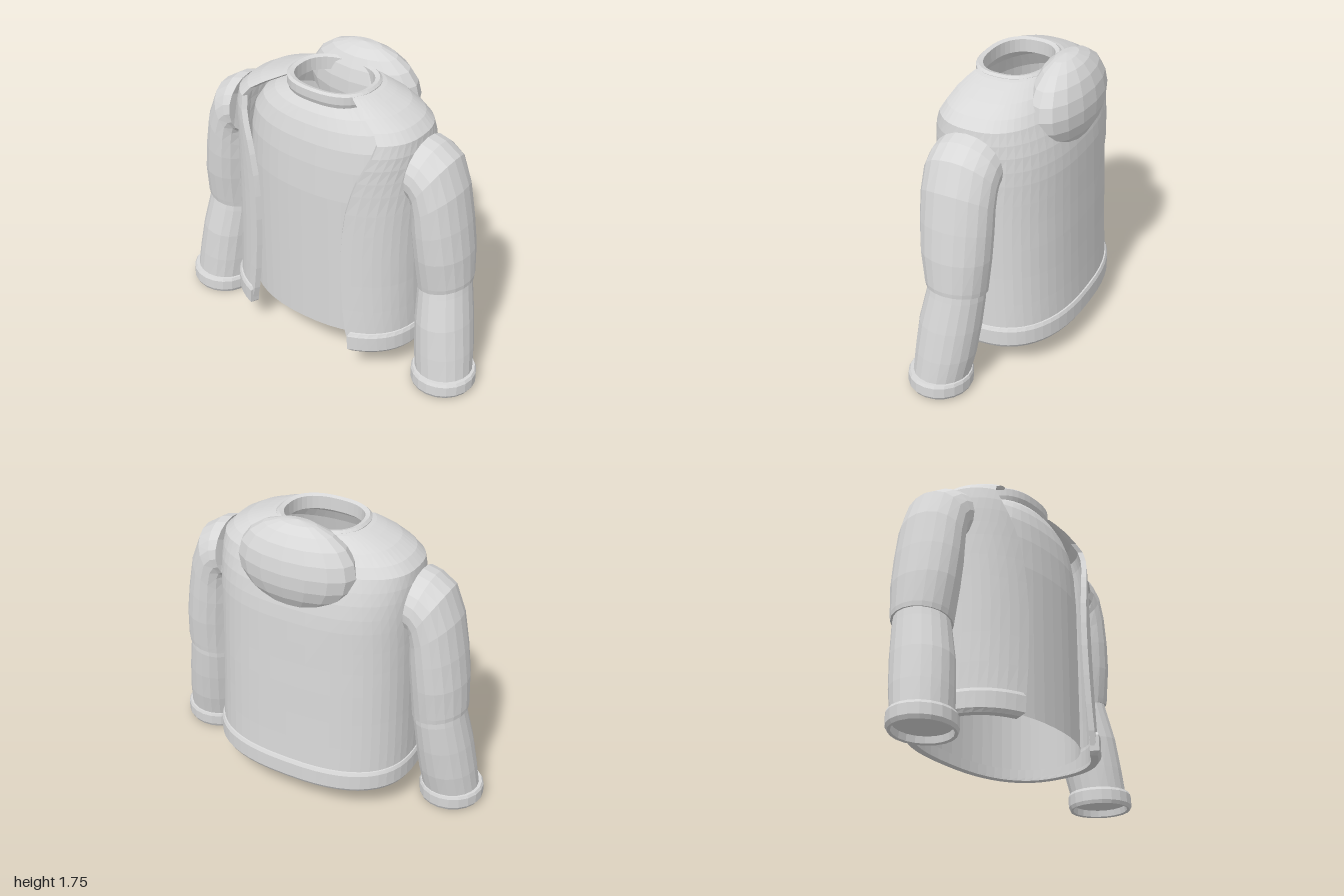
import * as THREE from 'three';

const fabric = new THREE.MeshStandardMaterial({ color: 0xd8d8d8, flatShading: true, side: THREE.DoubleSide });
fabric.name = 'light grey fabric';

// Skin a stack of equal-length closed loops, listed from the bottom up
function loft(name, rings) {
  const n = rings[0].length, index = [];
  for (let i = 0; i < rings.length - 1; i++) {
    for (let j = 0; j < n; j++) {
      const k = (j + 1) % n;
      const a = i * n + j, b = i * n + k, c = (i + 1) * n + k, d = (i + 1) * n + j;
      index.push(a, b, c, a, c, d);
    }
  }
  const geo = new THREE.BufferGeometry();
  geo.setAttribute('position', new THREE.Float32BufferAttribute(rings.flat(2), 3));
  geo.setIndex(index);
  geo.computeVertexNormals();
  const mesh = new THREE.Mesh(geo, fabric);
  mesh.name = name;
  return mesh;
}

const power = (v, p) => Math.sign(v) * Math.abs(v) ** p;

// Point on a rounded oval whose front reaches z = f and back reaches z = -k
function oval(t, y, a, f, k, n) {
  const b = (f + k) / 2;
  return [a * power(Math.sin(t), 2 / n), y, (f - k) / 2 + b * power(Math.cos(t), 2 / n)];
}

function closedOval([y, a, f, k], n, segments) {
  return Array.from({ length: segments }, (_, j) => oval((j / segments) * Math.PI * 2, y, a, f, k, n));
}

// Thick oval shell, open at the front between x = -o and x = o
function openOval([y, a, f, k, o, th], segments = 44) {
  const n = 2.5;
  const arc = (inset, edge) => {
    const w = a - inset;
    const t0 = Math.asin(Math.min(0.99, edge / w) ** (n / 2));
    return Array.from({ length: segments + 1 }, (_, j) =>
      oval(t0 + (j / segments) * 2 * (Math.PI - t0), y, w, f - inset, k - inset, n));
  };
  return [...arc(0, o), ...arc(th, o - Math.min(th, 0.018)).reverse()];
}

// Tilted sleeve ring: centre, radii, and rise per unit of x
function sleeveRing([x, y, z, rx, rz, tilt], side, segments = 20) {
  const ring = Array.from({ length: segments }, (_, j) => {
    const t = (j / segments) * Math.PI * 2, dx = rx * Math.sin(t);
    return [side * (x + dx), y + tilt * dx, z + rz * Math.cos(t)];
  });
  return side < 0 ? ring.reverse() : ring;
}

export function createModel() {
  const model = new THREE.Group();
  model.name = 'jacket';

  // Inner shirt: y, half width, front, back
  model.add(loft('shirt', [
    [0.225, 0.54, 0.35, 0.345], [0.7, 0.54, 0.35, 0.34],
    [1.1, 0.535, 0.35, 0.33], [1.28, 0.525, 0.34, 0.31], [1.4, 0.5, 0.325, 0.29],
    [1.49, 0.44, 0.3, 0.25], [1.55, 0.36, 0.27, 0.21], [1.6, 0.25, 0.23, 0.15],
  ].map(r => closedOval(r, 2.2, 44))));

  // Rolled neckband
  model.add(loft('neckband', [
    [1.59, 0.22, 0.215, 0.13], [1.59, 0.25, 0.24, 0.155], [1.615, 0.258, 0.25, 0.165],
    [1.66, 0.258, 0.25, 0.165], [1.672, 0.245, 0.238, 0.152], [1.665, 0.22, 0.215, 0.13],
    [1.59, 0.22, 0.215, 0.13],
  ].map(r => closedOval(r, 2.4, 36))));

  // Outer shell: y, half width, front, back, half opening, thickness
  model.add(loft('jacketBody', [
    [0.22, 0.595, 0.435, 0.395, 0.345, 0], [0.22, 0.595, 0.435, 0.395, 0.345, 0.03],
    [0.3, 0.597, 0.433, 0.395, 0.325, 0.03], [0.45, 0.593, 0.427, 0.388, 0.307, 0.03],
    [0.62, 0.588, 0.422, 0.382, 0.295, 0.03], [0.8, 0.585, 0.418, 0.377, 0.29, 0.03],
    [0.95, 0.583, 0.414, 0.371, 0.297, 0.03], [1.08, 0.582, 0.411, 0.367, 0.312, 0.03],
    [1.2, 0.582, 0.408, 0.363, 0.34, 0.03], [1.28, 0.582, 0.405, 0.355, 0.365, 0.03],
    [1.36, 0.582, 0.4, 0.34, 0.4, 0.03], [1.43, 0.58, 0.39, 0.318, 0.428, 0.03],
    [1.5, 0.57, 0.37, 0.29, 0.442, 0.03], [1.55, 0.52, 0.34, 0.262, 0.405, 0.03],
    [1.6, 0.435, 0.302, 0.228, 0.33, 0.03], [1.635, 0.345, 0.268, 0.19, 0.265, 0.03],
    [1.655, 0.285, 0.247, 0.168, 0.225, 0.028], [1.66, 0.262, 0.23, 0.15, 0.21, 0],
  ].map(r => openOval(r))));

  // Hem band
  model.add(loft('hemBand', [
    [0.17, 0.585, 0.42, 0.385, 0.365, 0], [0.17, 0.6, 0.436, 0.4, 0.365, 0.04],
    [0.19, 0.612, 0.452, 0.412, 0.35, 0.052], [0.28, 0.612, 0.452, 0.412, 0.345, 0.052],
    [0.3, 0.603, 0.443, 0.403, 0.355, 0.04], [0.302, 0.59, 0.43, 0.39, 0.36, 0],
  ].map(r => openOval(r))));

  // Hood bundled behind the neck
  const hood = new THREE.Mesh(new THREE.SphereGeometry(1, 16, 10), fabric);
  hood.name = 'hood';
  hood.scale.set(0.35, 0.25, 0.168);
  hood.position.set(0, 1.5, -0.248);
  hood.rotation.x = 0.06;
  model.add(hood);

  // Sleeves: x, y, z, radius x, radius z, tilt; the upper one turns in to the armhole
  const upper = [
    [0.742, 0.645, 0.035, 0.135, 0.15, 0.2], [0.742, 0.64, 0.035, 0.153, 0.17, 0.2],
    [0.742, 0.67, 0.036, 0.155, 0.175, 0.17], [0.73, 0.85, 0.04, 0.157, 0.198, 0.12],
    [0.711, 1.01, 0.042, 0.15, 0.206, 0.25], [0.692, 1.15, 0.042, 0.13, 0.207, 0.77],
    [0.662, 1.255, 0.04, 0.095, 0.207, 1.63], [0.62, 1.3, 0.04, 0.045, 0.205, 3.8],
    [0.58, 1.315, 0.04, 0.012, 0.203, 14.6],
  ];
  const lower = [
    [0.808, 0.09, 0.112, 0.165, 0.158, 0.04], [0.79, 0.24, 0.09, 0.166, 0.17, 0.06],
    [0.768, 0.42, 0.068, 0.16, 0.174, 0.1], [0.745, 0.6, 0.04, 0.147, 0.163, 0.18],
    [0.74, 0.67, 0.033, 0.14, 0.155, 0.2],
  ];
  const cuff = [
    [0.81, 0.05, 0.118, 0.002, 0.002, 0.04], [0.81, 0.05, 0.118, 0.155, 0.15, 0.04],
    [0.81, 0.014, 0.118, 0.16, 0.155, 0.04], [0.81, 0.01, 0.118, 0.177, 0.17, 0.04],
    [0.812, 0.03, 0.118, 0.187, 0.18, 0.04], [0.811, 0.09, 0.116, 0.187, 0.18, 0.04],
    [0.81, 0.107, 0.114, 0.178, 0.172, 0.04], [0.808, 0.108, 0.112, 0.16, 0.153, 0.04],
  ];
  for (const [side, label] of [[1, 'left'], [-1, 'right']]) {
    const sleeve = new THREE.Group();
    sleeve.name = label + 'Sleeve';
    sleeve.add(
      loft(label + 'UpperSleeve', upper.map(r => sleeveRing(r, side))),
      loft(label + 'LowerSleeve', lower.map(r => sleeveRing(r, side))),
      loft(label + 'Cuff', cuff.map(r => sleeveRing(r, side))),
    );
    model.add(sleeve);
  }
  return model;
}
